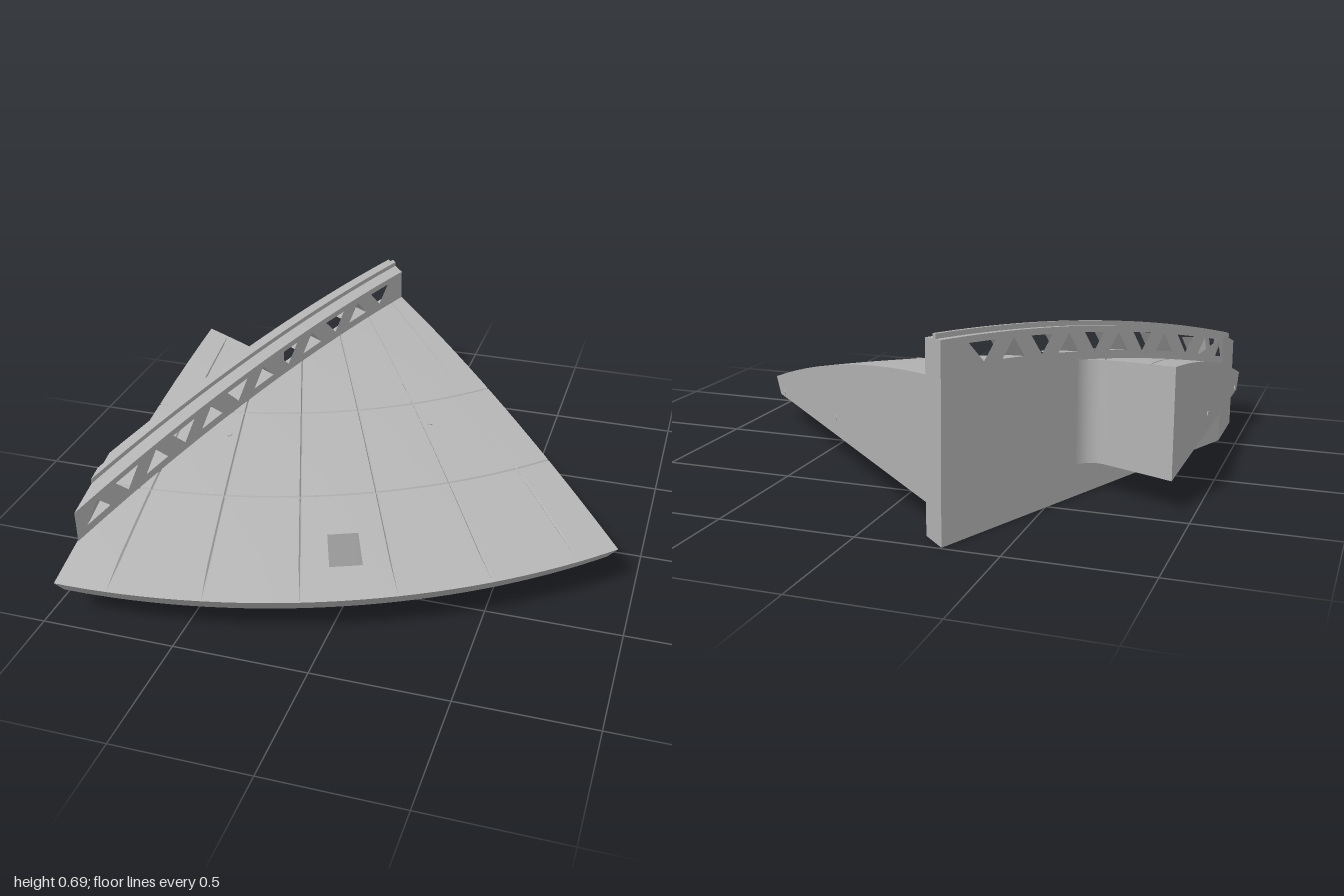
import * as THREE from 'three';
import { toCreasedNormals } from 'three/addons/utils/BufferGeometryUtils.js';

const RAD = Math.PI / 180;
const CX = -0.908, CZ = -1.6;              // centre of the disc the sector is cut from
const RIM = 2.6, BASE = 0.115;
const T0 = -0.6, T1 = 45;                  // sector limits in degrees
const SN = Math.sin(22.5 * RAD), CS = Math.cos(22.5 * RAD);
const N_FRONT = -0.547, N_MID = -0.6, N_BACK = -0.658, S_STEP = -0.037;

// wall coordinates: n across the wall, s along it
const wallX = (n, s) => n * CS - s * SN;
const wallZ = (n, s) => n * SN + s * CS;
const dome = (x, z) => 0.6 - 0.062 * ((x - CX) ** 2 + (z - CZ) ** 2);
const polar = (t, r, y) => new THREE.Vector3(CX + r * Math.sin(t * RAD), y, CZ + r * Math.cos(t * RAD));

// inner limit of the deck at angle t
function innerRadius(t) {
  const a = (t + 22.5) * RAD;
  const toWall = (N_MID - (CX * CS + CZ * SN)) / Math.sin(a);
  const toStep = (S_STEP - (-CX * SN + CZ * CS)) / Math.cos(a);
  return Math.min(toWall, toStep);
}

// solid sector with a domed top, V grooves and a square opening
function deckGeometry() {
  const seams = [3.75, 11.25, 18.75, 26.25, 33.75, 41.25], rings = [1.7, 2.14];
  const holeT = [21.12, 23.88], holeR = [2.32, 2.46];
  const cols = [T0, 15.9, T1, ...holeT], rows = [0.85, ...holeR, RIM];
  for (let t = 0.6; t < 44.5; t += 1.5) cols.push(t);
  for (const t of seams) cols.push(t - 0.12, t, t + 0.12);
  for (let r = 0.93; r < 2.28; r += 0.09) rows.push(r);
  for (const r of rings) rows.push(r - 0.004, r, r + 0.004);
  cols.sort((a, b) => a - b);
  rows.sort((a, b) => a - b);

  const top = (i, j) => {
    const t = cols[i], min = innerRadius(t), r = Math.max(rows[j], min);
    const groove = rows[j] > min && rows[j] < RIM && (seams.includes(t) || rings.includes(rows[j]));
    const p = polar(t, r, 0);
    p.y = dome(p.x, p.z) - (groove ? 0.007 : 0);
    return p;
  };
  const bottom = (i, j) => {
    const inset = rows[j] === RIM ? 0.055 : rows[j] === holeR[1] ? 0.025 : 0;
    return polar(cols[i], Math.max(rows[j], innerRadius(cols[i])) - inset, BASE);
  };
  const solid = (i, j) => i >= 0 && j >= 0 && i < cols.length - 1 && j < rows.length - 1 &&
    !(cols[i] >= holeT[0] && cols[i + 1] <= holeT[1] && rows[j] >= holeR[0] && rows[j + 1] <= holeR[1]);

  const pos = [];
  const tri = (a, b, c) => {
    if (new THREE.Triangle(a, b, c).getArea() > 1e-9) for (const p of [a, b, c]) pos.push(p.x, p.y, p.z);
  };
  const quad = (a, b, c, d) => { tri(a, b, c); tri(a, c, d); };
  const side = (i, j, k, l) => quad(top(i, j), bottom(i, j), bottom(k, l), top(k, l));
  for (let i = 0; i < cols.length - 1; i++) {
    for (let j = 0; j < rows.length - 1; j++) {
      if (!solid(i, j)) continue;
      quad(top(i, j), top(i, j + 1), top(i + 1, j + 1), top(i + 1, j));
      quad(bottom(i, j), bottom(i + 1, j), bottom(i + 1, j + 1), bottom(i, j + 1));
      if (!solid(i, j + 1)) side(i, j + 1, i + 1, j + 1);
      if (!solid(i, j - 1)) side(i + 1, j, i, j);
      if (!solid(i + 1, j)) side(i + 1, j + 1, i + 1, j);
      if (!solid(i - 1, j)) side(i, j, i, j + 1);
    }
  }
  const geo = new THREE.BufferGeometry();
  geo.setAttribute('position', new THREE.Float32BufferAttribute(pos, 3));
  return toCreasedNormals(geo, 0.35);
}

// both ends of the wall are cut off at an angle
const startOf = n => (CZ - CX + (CS - SN) * n) / (CS + SN);
const endOf = n => (0.93 + CS * n) / SN;
const S0 = startOf(N_FRONT), S1 = endOf(N_FRONT);
const lineY = s => dome(wallX(N_FRONT, s), wallZ(N_FRONT, s));

// upright slab following the dome, from n = front to n = back
function wallGeometry(front, back, low, high, holes = []) {
  const pts = [], steps = 40;
  for (let i = 0; i <= steps; i++) {
    const s = S0 + (S1 - S0) * i / steps;
    pts.push(new THREE.Vector2(s, lineY(s) + high));
  }
  for (let i = steps; i >= 0; i--) {
    const s = S0 + (S1 - S0) * i / steps;
    pts.push(new THREE.Vector2(s, low === null ? 0 : lineY(s) + low));
  }
  const shape = new THREE.Shape(pts);
  shape.holes = holes;
  const geo = new THREE.ExtrudeGeometry(shape, { depth: 1, bevelEnabled: false });
  const p = geo.attributes.position;
  for (let i = 0; i < p.count; i++) {
    const s = p.getX(i), y = p.getY(i), n = front + (back - front) * p.getZ(i);
    let along = s;
    if (s > 0.7) along = 0.7 + (s - 0.7) * (endOf(n) - 0.7) / (S1 - 0.7);
    if (s < -0.6) along = -0.6 + (s + 0.6) * (startOf(n) + 0.6) / (S0 + 0.6);
    const x = wallX(n, along), z = wallZ(n, along);
    p.setXYZ(i, x, y > 0.001 ? y + dome(x, z) - lineY(s) : 0, z);
  }
  return toCreasedNormals(geo, 0.35);
}

// alternating triangular openings
function trussHoles() {
  const holes = [];
  for (let k = 0; k < 12; k++) {
    const c = 1.005 - 0.146 * k, up = k % 2 === 0;
    const corner = (s, h) => new THREE.Vector2(s, lineY(s) + h);
    const base = up ? 0.03 : 0.097, tip = up ? 0.097 : 0.03;
    holes.push(new THREE.Path([corner(c - 0.056, base), corner(c + 0.056, base), corner(c, tip)]));
  }
  return holes;
}

// concave fillet between the wall and the rear step
function filletGeometry() {
  const r = 0.07, pts = [[N_BACK, S_STEP]];
  for (let i = 0; i <= 8; i++) {
    const a = i / 8 * Math.PI / 2;
    pts.push([N_BACK - r + r * Math.sin(a), S_STEP - r + r * Math.cos(a)]);
  }
  const shape = new THREE.Shape(pts.map(([n, s]) => new THREE.Vector2(wallX(n, s), -wallZ(n, s))));
  const geo = new THREE.ExtrudeGeometry(shape, { depth: 1, bevelEnabled: false }).rotateX(-Math.PI / 2);
  const p = geo.attributes.position;
  for (let i = 0; i < p.count; i++) p.setY(i, p.getY(i) > 0.5 ? dome(p.getX(i), p.getZ(i)) : BASE);
  return toCreasedNormals(geo, 0.5);
}

export function createModel() {
  const grey = new THREE.MeshStandardMaterial({ color: 0xb4b4b4 });
  grey.name = 'plain grey';
  const model = new THREE.Group();
  model.name = 'discSector';
  const add = (name, geo) => {
    const mesh = new THREE.Mesh(geo, grey);
    mesh.name = name;
    model.add(mesh);
    return mesh;
  };

  add('domedDeck', deckGeometry());
  add('trussWall', wallGeometry(N_FRONT, N_BACK, null, 0.12, trussHoles()));
  add('topRail', wallGeometry(-0.6, -0.622, 0.118, 0.137));
  add('rearFillet', filletGeometry());

  // thin radial ribs on the underside
  for (let k = 1; k <= 11; k++) {
    const t = 3.75 * k, r0 = innerRadius(t) + 0.12, r1 = k === 6 ? 2.27 : 2.46;
    const rib = add('undersideRib', new THREE.BoxGeometry(0.008, 0.006, r1 - r0));
    rib.position.copy(polar(t, (r0 + r1) / 2, BASE - 0.001));
    rib.rotation.y = t * RAD;
  }

  // small round pin marks on the deck and the cut sides
  const pin = (x, y, z, normal) => {
    const mark = add('pinMark', new THREE.CylinderGeometry(0.011, 0.011, 0.006, 16));
    mark.position.set(x, y, z);
    mark.quaternion.setFromUnitVectors(new THREE.Vector3(0, 1, 0), normal.normalize());
  };
  for (const [x, z] of [[-0.59, 0.2], [0.13, -0.1]]) {
    pin(x, dome(x, z), z, new THREE.Vector3(0.124 * (x - CX), 1, 0.124 * (z - CZ)));
  }
  for (const [y, z] of [[0.135, 0.16], [0.185, -0.3]]) {
    pin(z - CZ + CX, y, z, new THREE.Vector3(1, 0, -1));
    const r = Math.SQRT2 * (z - CZ), p = polar(T0, r, y);
    pin(p.x, y, p.z, new THREE.Vector3(-1, 0, 0));
  }
  return model;
}
